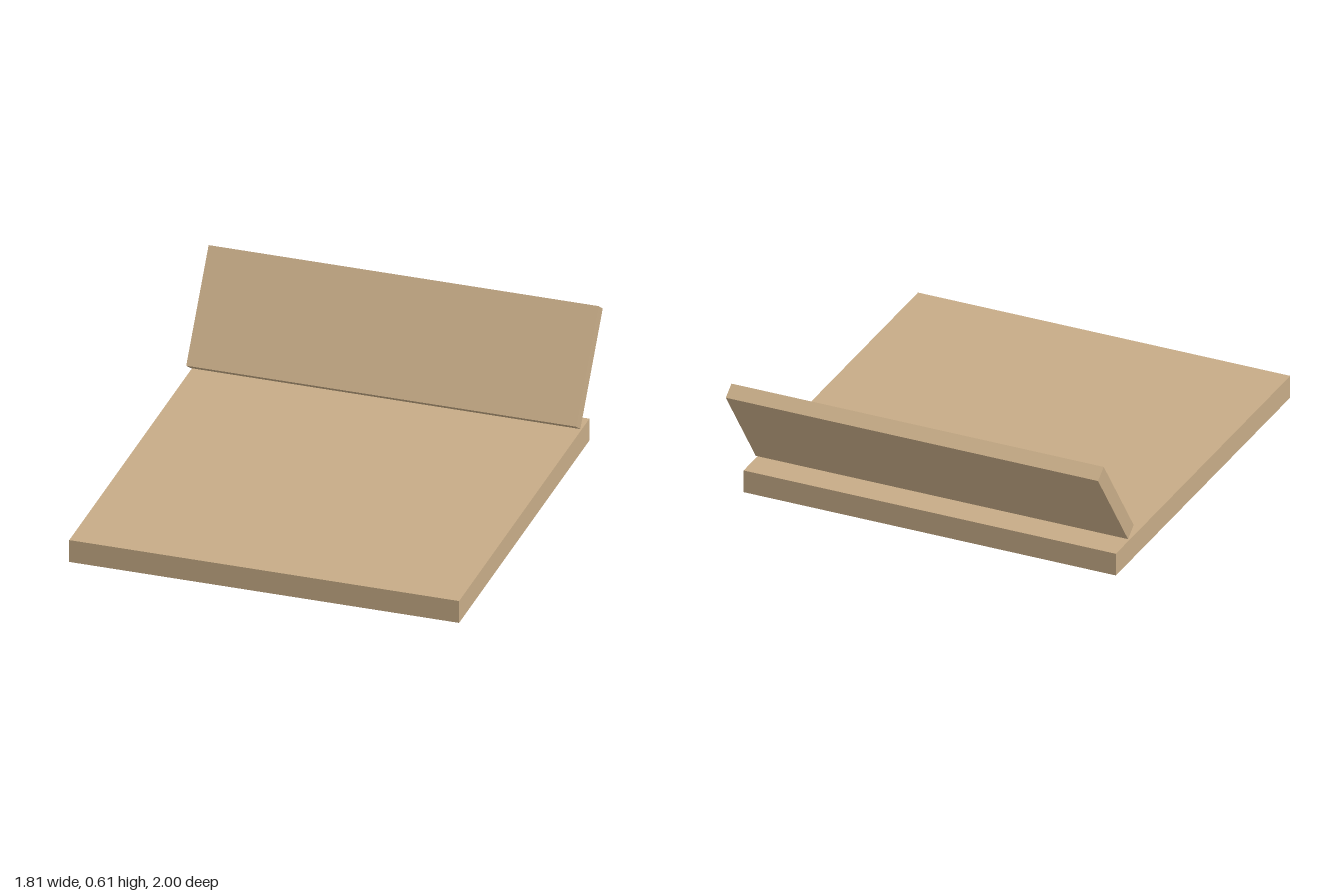
import * as THREE from 'three';

export function createModel() {
  const group = new THREE.Group();
  const tan = new THREE.MeshStandardMaterial({ color: 0xc6ab86 });
  tan.name = 'tan';

  const width = 1.814;

  const addSlab = (name, height, depth, y, z, tilt = 0) => {
    const mesh = new THREE.Mesh(new THREE.BoxGeometry(width, height, depth), tan);
    mesh.name = name;
    mesh.position.set(0, y, z);
    mesh.rotation.x = tilt;
    group.add(mesh);
  };

  // Flat square base slab
  addSlab('base', 0.109, width, 0.0545, 0.093);

  // Floating back panel, leaning backwards over the rear edge
  addSlab('backrest', 0.544, 0.0726, 0.364, -0.814, -THREE.MathUtils.degToRad(35));

  return group;
}
